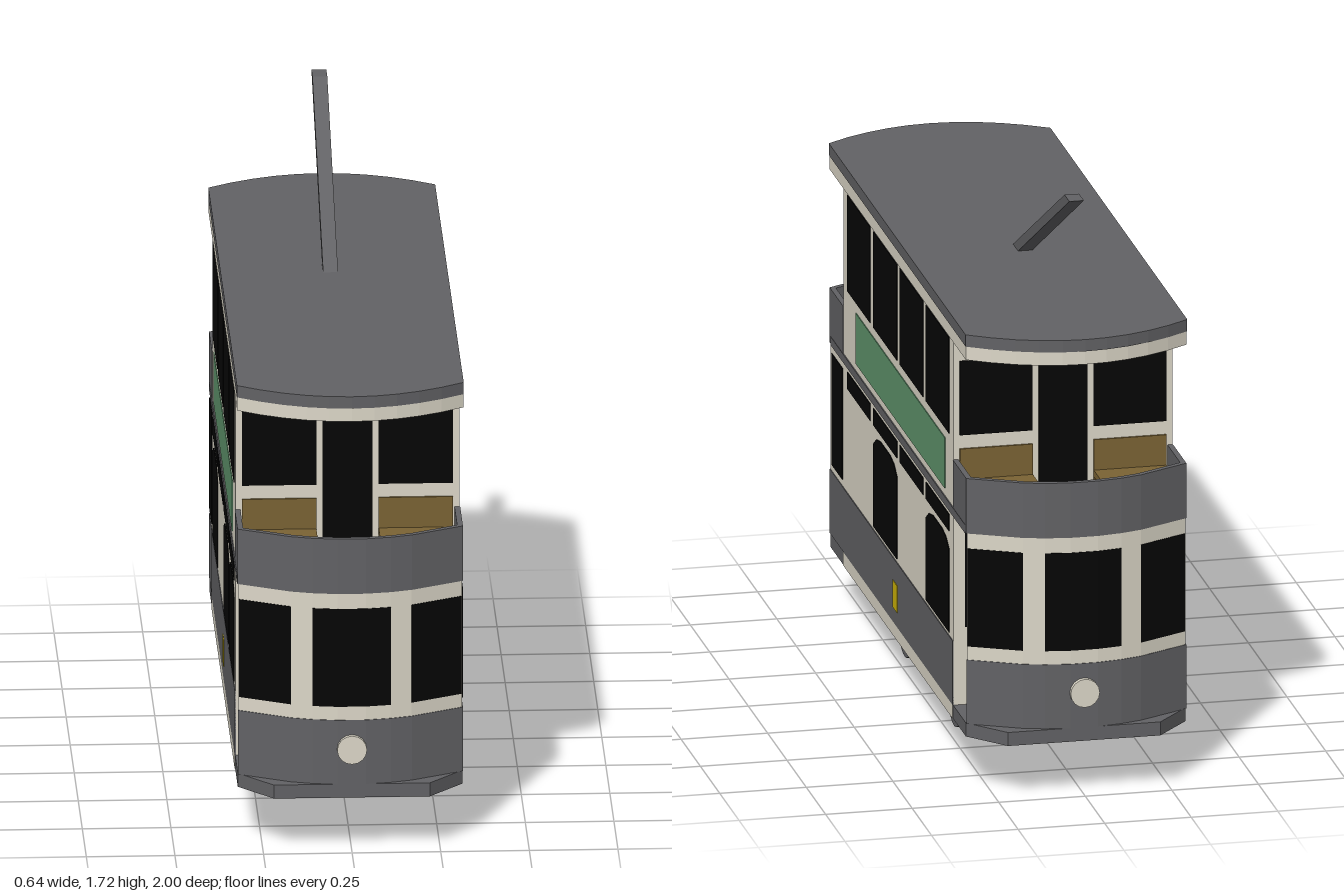
import * as THREE from 'three';

const mat = (name, color) => {
  const m = new THREE.MeshStandardMaterial({ color });
  m.name = name;
  return m;
};

export function createModel() {
  const grey = mat('slate grey', 0x626265), cream = mat('cream', 0xdcd7c8), black = mat('window black', 0x050505);
  const green = mat('panel green', 0x5f946c), brown = mat('bench brown', 0x7a6334), yellow = mat('yellow', 0xcfb406);
  const model = new THREE.Group();
  model.name = 'doubleDeckTram';

  const add = (parent, name, geo, m, x = 0, y = 0, z = 0) => {
    const mesh = new THREE.Mesh(geo, m);
    mesh.name = name;
    mesh.position.set(x, y, z);
    parent.add(mesh);
    return mesh;
  };
  // Box given by its limits on each axis
  const box = (parent, name, m, x0, x1, y0, y1, z0, z1) =>
    add(parent, name, new THREE.BoxGeometry(x1 - x0, y1 - y0, z1 - z0), m, (x0 + x1) / 2, (y0 + y1) / 2, (z0 + z1) / 2);
  // Plan outline in (x, z), extruded between two heights
  const slab = (name, m, shape, y0, y1) => {
    const geo = new THREE.ExtrudeGeometry(shape, { depth: y1 - y0, bevelEnabled: false });
    geo.rotateX(Math.PI / 2);
    return add(model, name, geo, m, 0, y1, 0);
  };
  const chamfered = (hw, zs, hx, ze) => new THREE.Shape(
    [[hw, -zs], [hw, zs], [hx, ze], [-hx, ze], [-hw, zs], [-hw, -zs], [-hx, -ze], [hx, -ze]]
      .map(([x, z]) => new THREE.Vector2(x, z)));
  const bowed = (hw, zs, ze, Kind = THREE.Shape) => {
    const pts = [];
    for (const s of [1, -1])
      for (let i = 0; i <= 10; i++) {
        const u = 1 - i / 5;
        pts.push(new THREE.Vector2(s * hw * u, s * (zs + (ze - zs) * (1 - u * u))));
      }
    return new Kind(pts);
  };

  // Floors and roof
  slab('platformFloor', grey, chamfered(0.317, 0.875, 0.22, 0.985), 0.16, 0.2);
  slab('upperFloor', grey, bowed(0.319, 0.87, 0.975), 0.762, 0.787);
  slab('roof', grey, bowed(0.32, 0.885, 1), 1.32, 1.355);
  const rim = bowed(0.319, 0.883, 0.996);
  rim.holes.push(bowed(0.29, 0.855, 0.965, THREE.Path));
  slab('roofRim', cream, rim, 1.28, 1.32);

  // Closed saloons
  box(model, 'lowerSaloon', cream, -0.316, 0.316, 0.2, 0.765, -0.71, 0.71);
  box(model, 'upperSaloon', cream, -0.316, 0.316, 0.785, 1.32, -0.71, 0.71);

  // Arched pane outline, drawn in (z, y)
  const archGeo = (z0, z1) => {
    const s = new THREE.Shape([[z0, 0.4], [z1, 0.4], [z1, 0.645], [z1 - 0.04, 0.67], [z1 - 0.09, 0.68],
      [z0 + 0.09, 0.68], [z0 + 0.04, 0.67], [z0, 0.645]].map(([a, b]) => new THREE.Vector2(a, b)));
    const g = new THREE.ExtrudeGeometry(s, { depth: 0.004, bevelEnabled: false });
    return g.rotateY(-Math.PI / 2);
  };
  const bays = [[0.36, 0.655], [0.015, 0.32], [-0.325, -0.02], [-0.66, -0.36]];

  // Side panels and windows
  for (const s of [1, -1]) {
    const side = new THREE.Group();
    side.name = s > 0 ? 'leftSide' : 'rightSide';
    model.add(side);
    const plate = (name, m, y0, y1, z0, z1, outer = 0.3185) => {
      const a = s * 0.314, b = s * outer;
      box(side, name, m, Math.min(a, b), Math.max(a, b), y0, y1, z0, z1);
    };
    plate('sill', cream, 0.16, 0.2, -0.71, 0.71);
    plate('lowerPanel', grey, 0.2, 0.39, -0.71, 0.71);
    plate('signPanel', green, 0.81, 0.96, -0.605, 0.545);
    plate('yellowBox', yellow, 0.245, 0.325, 0, 0.06, 0.3205);
    bays.forEach(([z0, z1], i) => {
      plate('upperWindow', black, 0.99, 1.275, z0, z1);
      plate('topLight', black, 0.7, 0.75, z0, z1);
      if ((s > 0 ? [1, 3] : [0, 1, 3]).includes(i))
        add(side, 'archedWindow', archGeo(z0, z1), black, s > 0 ? 0.3185 : -0.3145);
    });
  }

  // One platform end facing +z, closed on +x and open on -x
  const makeEnd = (name) => {
    const end = new THREE.Group();
    end.name = name;
    const T = 0.014, W = 0.316;
    const bow = [-W, -0.17, -0.11, -0.04, 0.04, 0.11, 0.17, W].map((x) => [x, 0.882 + 0.104 * (1 - (x / W) ** 2)]);
    const path = [[-W, 0.71], ...bow, [W, 0.71]];
    const last = path.length - 2;
    // Panel along one path segment, between fractions f0 and f1; out and inn thicken it
    const panel = (label, m, i, y0, y1, f0 = 0, f1 = 1, out = 0, inn = 0) => {
      const [ax, az] = path[i], [bx, bz] = path[i + 1];
      const dx = bx - ax, dz = bz - az, len = Math.hypot(dx, dz), f = (f0 + f1) / 2;
      const depth = (T + inn - out) / 2;
      const mesh = add(end, label, new THREE.BoxGeometry(len * (f1 - f0), y1 - y0, T + out + inn), m,
        ax + dx * f + dz / len * depth, (y0 + y1) / 2, az + dz * f - dx / len * depth);
      mesh.rotation.y = Math.atan2(-dz, dx);
    };
    for (let i = 0; i <= last; i++) {
      panel('balconyPanel', grey, i, 0.765, 0.928, 0, 1, 0.002);
      if (i === 0) continue;
      panel('dashPanel', grey, i, 0.2, 0.39, 0, 1, 0.002);
      panel('windowFrame', cream, i, 0.39, 0.765);
    }
    panel('cornerWindow', black, 1, 0.43, 0.72, 0.02, 1, 0.002, 0.002);
    for (const i of [3, 4, 5]) panel('endWindow', black, i, 0.43, 0.72, 0, 1, 0.002, 0.002);
    panel('cornerWindow', black, last - 1, 0.43, 0.72, 0, 0.98, 0.002, 0.002);
    panel('sideWindow', black, last, 0.41, 0.74, 0.13, 0.93, 0.0025, -0.01);

    const lamp = add(end, 'headlamp', new THREE.CylinderGeometry(0.042, 0.042, 0.024, 16), cream, 0, 0.305, 0.988);
    lamp.rotation.x = Math.PI / 2;

    // Bulkhead doors, windows and balcony benches
    box(end, 'lowerDoor', black, -0.08, 0.08, 0.2, 0.72, 0.709, 0.714);
    box(end, 'upperDoor', black, -0.07, 0.07, 0.787, 1.275, 0.709, 0.714);
    for (const s of [1, -1]) {
      const x = s * 0.193;
      box(end, 'bulkheadWindow', black, x - 0.105, x + 0.105, 1.0, 1.22, 0.709, 0.714);
      box(end, 'lowerBulkheadWindow', black, x - 0.09, x + 0.09, 0.43, 0.72, 0.709, 0.714);
      box(end, 'benchBack', brown, x - 0.105, x + 0.105, 0.787, 0.96, 0.709, 0.716);
      box(end, 'benchSeat', brown, x - 0.105, x + 0.105, 0.85, 0.87, 0.716, 0.82);
      box(end, 'benchBase', cream, x - 0.08, x + 0.08, 0.787, 0.85, 0.716, 0.8);
    }

    // Winding stair
    for (let i = 0; i < 9; i++) {
      const a = (i / 8) * 1.5;
      const step = add(end, 'stairStep', new THREE.BoxGeometry(0.13, 0.07, 0.05), grey,
        -0.2 + 0.3 * (1 - Math.cos(a)), 0.235 + i * 0.058, 0.835 - 0.1 * Math.sin(a));
      step.rotation.y = a * 0.15;
    }
    box(end, 'stairLanding', brown, -0.28, -0.1, 0.73, 0.762, 0.73, 0.79);

    // Canopy ribs
    for (const z of [0.73, 0.83]) box(end, 'canopyRib', cream, -0.3, 0.3, 1.295, 1.32, z - 0.02, z + 0.02);
    for (const x of [-0.1, 0.1]) box(end, 'canopyRail', cream, x - 0.02, x + 0.02, 1.295, 1.32, 0.71, 0.96);
    model.add(end);
    return end;
  };
  makeEnd('frontEnd');
  makeEnd('rearEnd').rotation.y = Math.PI;

  // Truck: flat frame with four wheels
  box(model, 'truckFrame', grey, -0.2, 0.2, 0.075, 0.125, -0.44, 0.47);
  for (const z of [0.34, -0.3])
    for (const x of [0.204, -0.204]) {
      const wheel = add(model, 'wheel', new THREE.CylinderGeometry(0.086, 0.086, 0.037, 24), grey, x, 0.086, z);
      wheel.rotation.z = Math.PI / 2;
    }

  // Trolley pole, drawn in (z, y)
  const pole = new THREE.Shape([[-0.17, 1.35], [-0.105, 1.35], [-0.78, 1.715], [-0.843, 1.715]]
    .map(([z, y]) => new THREE.Vector2(z, y)));
  const poleGeo = new THREE.ExtrudeGeometry(pole, { depth: 0.042, bevelEnabled: false });
  poleGeo.rotateY(-Math.PI / 2);
  add(model, 'trolleyPole', poleGeo, grey, 0.011);

  return model;
}
